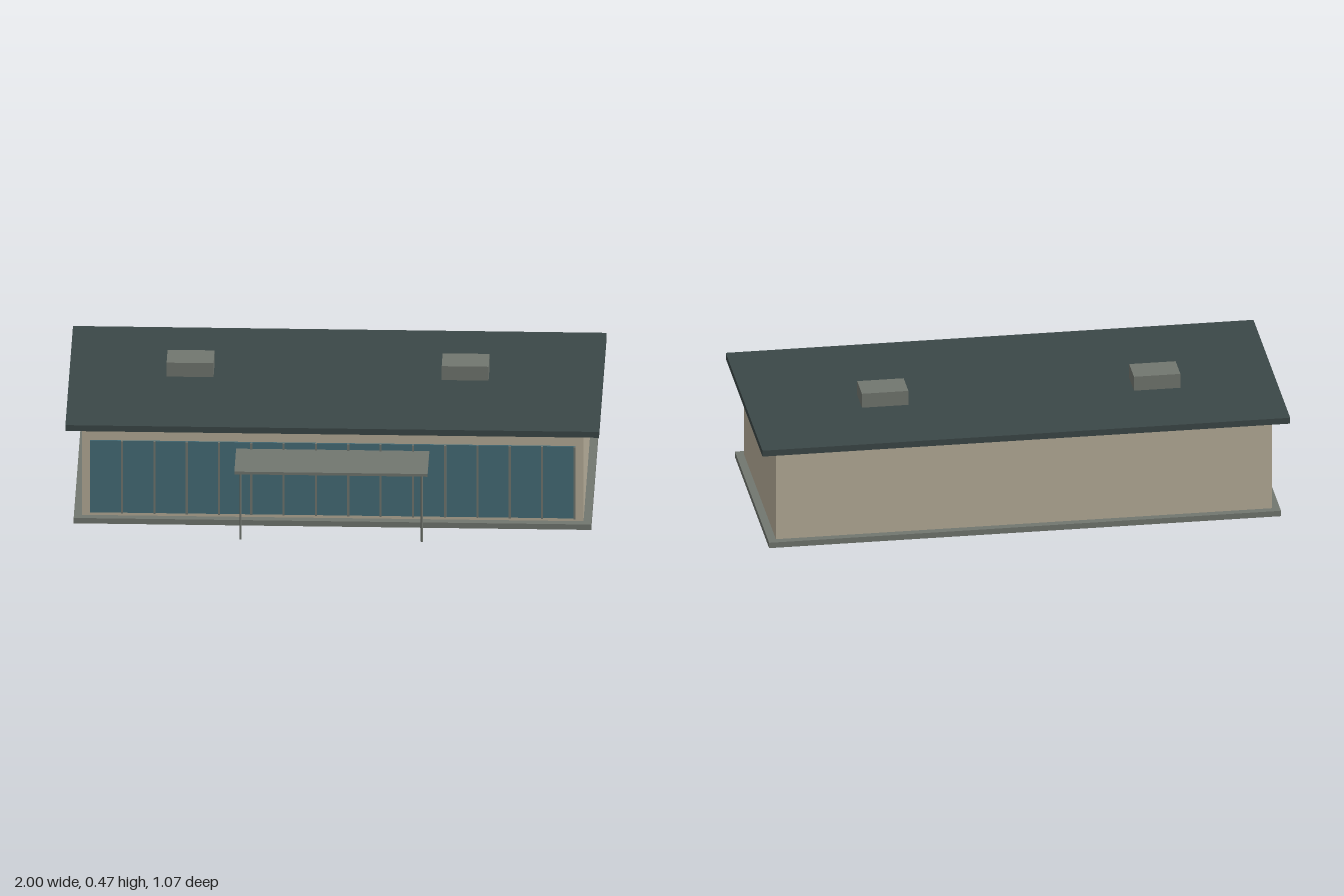
import * as THREE from 'three';

const paint = (name, color) => {
  const m = new THREE.MeshStandardMaterial({ color });
  m.name = name;
  return m;
};

export function createModel() {
  const model = new THREE.Group();
  model.name = 'pavilion';
  const wall = paint('beige wall', 0xb5ac98);
  const roof = paint('dark roof', 0x3b4747);
  const metal = paint('grey metal', 0x71766f);
  const glass = paint('teal glass', 0x466d77);

  // Box given by its lower and upper limits on each axis
  const box = (name, material, [x0, x1], [y0, y1], [z0, z1]) => {
    const mesh = new THREE.Mesh(new THREE.BoxGeometry(x1 - x0, y1 - y0, z1 - z0), material);
    mesh.position.set((x0 + x1) / 2, (y0 + y1) / 2, (z0 + z1) / 2);
    mesh.name = name;
    model.add(mesh);
  };

  // Main volume
  box('baseSlab', metal, [-0.97, 0.97], [0, 0.022], [-0.5, 0.347]);
  box('walls', wall, [-0.94, 0.94], [0.022, 0.389], [-0.471, 0.317]);
  box('roofSlab', roof, [-1, 1], [0.392, 0.416], [-0.532, 0.377]);

  // Rooftop units
  for (const x of [-0.547, 0.484]) {
    box('roofUnit', metal, [x - 0.088, x + 0.088], [0.416, 0.473], [-0.198, -0.08]);
  }

  // Glazed front with evenly spaced mullions
  box('frontGlazing', glass, [-0.91, 0.91], [0.035, 0.33], [0.316, 0.322]);
  const bays = 15;
  for (let i = 1; i <= bays; i++) {
    const x = -0.91 + (i * 1.816) / bays;
    box('mullion', metal, [x - 0.004, x + 0.004], [0.035, 0.33], [0.321, 0.33]);
  }

  // Entrance canopy on two slim posts
  box('canopy', metal, [-0.362, 0.362], [0.293, 0.304], [0.317, 0.533]);
  for (const x of [-0.34, 0.34]) {
    const post = new THREE.Mesh(new THREE.CylinderGeometry(0.0045, 0.0045, 0.28, 10), metal);
    post.position.set(x, 0.153, 0.502);
    post.name = 'canopyPost';
    model.add(post);
  }
  return model;
}
